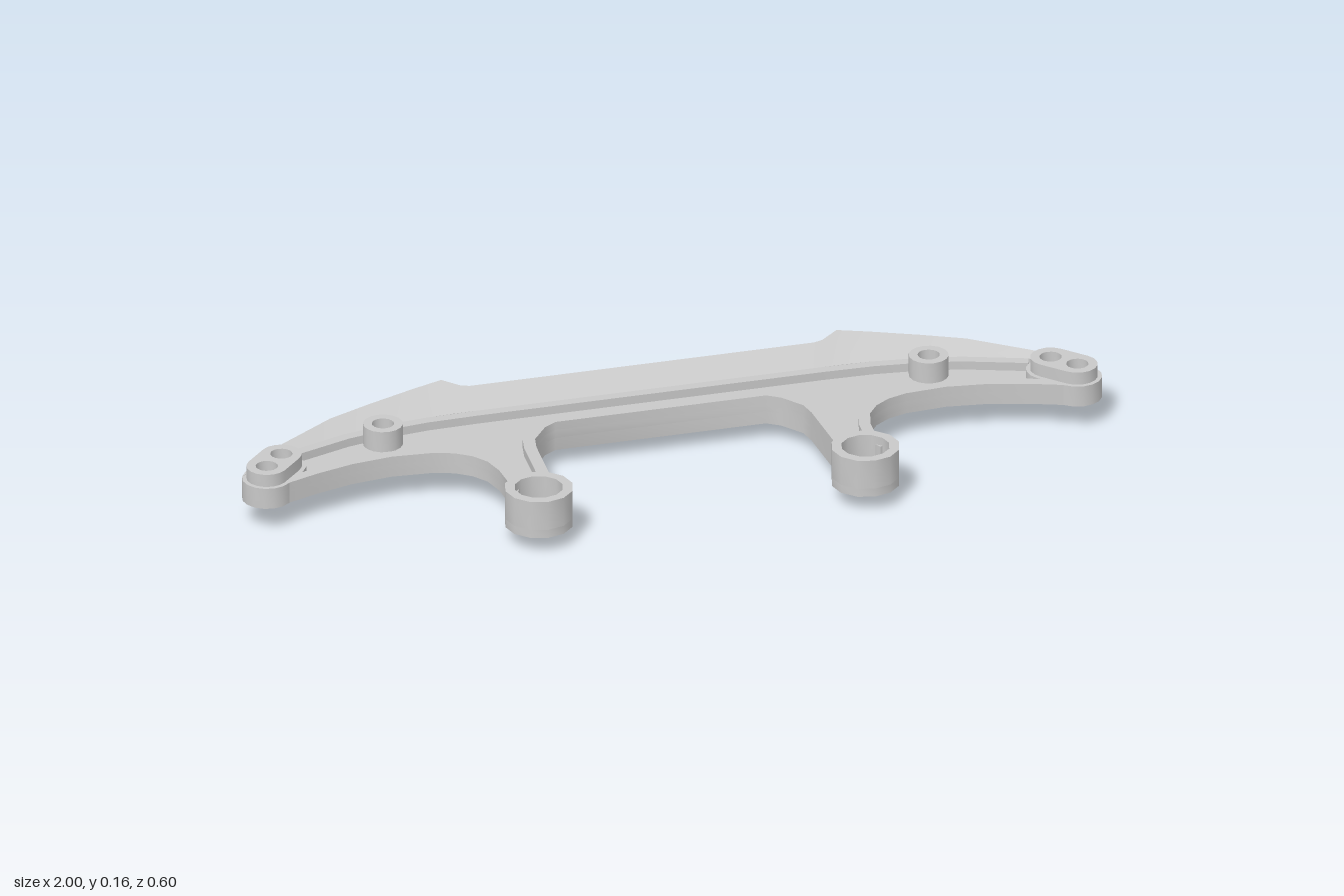
import * as THREE from 'three';
import { toCreasedNormals } from 'three/addons/utils/BufferGeometryUtils.js';

const grey = new THREE.MeshStandardMaterial({ color: 0xc8c8c8 });
grey.name = 'plain grey';

// Plan points are [x, z]; half paths run outward from the centre line
const mirrorPath = (half) => [...half.map(([x, z, ...r]) => [-x, z, ...r]).reverse(), ...half];
const toVec = (pts) => pts.map(([x, z]) => new THREE.Vector2(x, -z));

function circle(x, z, r, n = 16) {
  return Array.from({ length: n }, (_, i) => {
    const a = (i / n) * Math.PI * 2;
    return [x + r * Math.cos(a), z + r * Math.sin(a)];
  });
}

// Rounded slot outline around two centres
function capsule([ax, az], [bx, bz], r, n = 8) {
  const a0 = Math.atan2(bz - az, bx - ax) - Math.PI / 2;
  const arc = (cx, cz, start) => Array.from({ length: n + 1 }, (_, i) => {
    const a = start + (i / n) * Math.PI;
    return [cx + r * Math.cos(a), cz + r * Math.sin(a)];
  });
  return [...arc(bx, bz, a0), ...arc(ax, az, a0 + Math.PI)];
}

// Flat plan shape raised from y0 to y1; the outline runs counter-clockwise so hole walls face inward
function slab(name, outline, y0, y1, holes = []) {
  const points = toVec(outline);
  if (THREE.ShapeUtils.isClockWise(points)) points.reverse();
  const shape = new THREE.Shape(points);
  holes.forEach((h) => shape.holes.push(new THREE.Path(toVec(h))));
  const geo = new THREE.ExtrudeGeometry(shape, { depth: y1 - y0, bevelEnabled: false });
  geo.rotateX(-Math.PI / 2).translate(0, y0, 0);
  const mesh = new THREE.Mesh(toCreasedNormals(geo, 0.6), grey);
  mesh.name = name;
  return mesh;
}

// Band of width w along one side of a path
function band(path, w) {
  const normal = (a, b) => {
    const l = Math.hypot(b[0] - a[0], b[1] - a[1]);
    return [-(b[1] - a[1]) / l, (b[0] - a[0]) / l];
  };
  const last = path.length - 1;
  const inset = path.map((p, i) => {
    const n1 = normal(path[Math.max(i - 1, 0)], path[Math.max(i, 1)]);
    const n2 = normal(path[Math.min(i, last - 1)], path[Math.min(i + 1, last)]);
    const k = w / (1 + n1[0] * n2[0] + n1[1] * n2[1]);
    return [p[0] + (n1[0] + n2[0]) * k, p[1] + (n1[1] + n2[1]) * k];
  });
  return [...path, ...inset.reverse()];
}

// Key edges of the frame, right half
const cutout = [[0.245, -0.12], [0.275, -0.1], [0.312, -0.05], [0.32, -0.01], [0.33, 0.157]];
const armFront = [[0.445, 0.186], [0.428, 0.15], [0.432, 0.08], [0.445, 0.03], [0.47, -0.005],
  [0.505, -0.03], [0.55, -0.045], [0.645, -0.052], [0.74, -0.04], [0.83, -0.015], [0.912, 0.015]];
const backEdge = [[0.4, -0.222], [0.52, -0.219], [0.63, -0.207], [0.72, -0.188], [0.862, -0.139]];

// Wing stations: inner x, inner z, outer x, outer z, outer top y
const wingHalf = [
  [0.38, -0.222, 0.4, -0.275, 0.147],
  [0.41, -0.222, 0.42, -0.278, 0.149],
  [0.45, -0.222, 0.46, -0.3, 0.158],
  [0.52, -0.219, 0.53, -0.285, 0.152],
  [0.63, -0.207, 0.64, -0.256, 0.143],
  [0.72, -0.188, 0.74, -0.225, 0.135],
  [0.85, -0.143, 0.87, -0.157, 0.122],
  [0.925, -0.105, 0.95, -0.108, 0.115],
  [0.97, -0.06, 0.992, -0.05, 0.111],
];

function wing() {
  const stations = mirrorPath(wingHalf.map(([a, b, c, d, y]) => [a, b, c, d, y]))
    .map(([a, b, c, d, y], i) => [a, b, i < wingHalf.length ? -c : c, d, y]);
  const pos = [];
  const idx = [];
  stations.forEach(([ix, iz, ox, oz, y]) => {
    pos.push(ix, 0.11, iz, ox, y, oz, ox, y - 0.02, oz, ix, 0.09, iz);
  });
  for (let i = 0; i < stations.length - 1; i++) {
    for (let k = 0; k < 4; k++) {
      const a = i * 4 + k, b = i * 4 + ((k + 1) % 4);
      idx.push(a, a + 4, b + 4, a, b + 4, b);
    }
  }
  const e = (stations.length - 1) * 4;
  idx.push(0, 1, 2, 0, 2, 3, e, e + 2, e + 1, e, e + 3, e + 2);
  const geo = new THREE.BufferGeometry();
  geo.setAttribute('position', new THREE.Float32BufferAttribute(pos, 3));
  geo.setIndex(idx);
  const mesh = new THREE.Mesh(toCreasedNormals(geo, 0.35), grey);
  mesh.name = 'rearWing';
  return mesh;
}

export function createModel() {
  const model = new THREE.Group();
  model.name = 'bumperFrame';

  // Thin web filling the frame between the ribs
  const tipEnd = [[0.865, -0.042], [0.86, -0.102]];
  const half = [...cutout, [0.405, 0.155], ...armFront, ...tipEnd, ...[...backEdge].reverse()];
  const screwHoles = [-1, 1].map((s) => circle(s * 0.635, -0.16, 0.025));
  model.add(slab('web', mirrorPath(half), 0.07, 0.09, screwHoles));

  // Raised ribs along the edges
  model.add(slab('cutoutRib', band(mirrorPath(cutout), -0.028), 0.04, 0.11));
  model.add(slab('backRib', band(mirrorPath(backEdge), 0.024), 0.06, 0.11));

  for (const s of [1, -1]) {
    const side = new THREE.Group();
    side.name = s > 0 ? 'leftSide' : 'rightSide';
    const flip = (pts) => pts.map(([x, z]) => [s * x, z]);
    side.add(slab('armRib', band(flip(armFront), -0.026 * s), 0.06, 0.11));

    // Leg mount with a counterbored hole
    const mount = (r) => circle(s * 0.38, 0.222, r, 12);
    side.add(slab('mountBase', mount(0.078), 0.04, 0.06, [mount(0.03)]));
    side.add(slab('mountCup', mount(0.078), 0.06, 0.13, [mount(0.055)]));

    // Single screw boss on the arm
    side.add(slab('screwBoss', circle(s * 0.635, -0.16, 0.045), 0.065, 0.14,
      [circle(s * 0.635, -0.16, 0.025)]));

    // Two-hole pad at the arm tip
    const a = [s * 0.895, -0.076], b = [s * 0.943, -0.026];
    const holes = [circle(...a, 0.025), circle(...b, 0.025)];
    side.add(slab('tipPad', capsule(a, b, 0.056), 0.06, 0.11, holes));
    side.add(slab('tipPadTop', capsule(a, b, 0.046), 0.11, 0.14, holes));
    model.add(side);
  }

  model.add(wing());

  // Small fin hanging under the middle of the wing
  const fin = new THREE.Shape([[0.185, 0.075], [0.185, 0.06], [0.218, 0.012], [0.232, 0.002],
    [0.245, 0], [0.265, 0], [0.272, 0.004], [0.272, 0.13], [0.23, 0.1]]
    .map(([x, y]) => new THREE.Vector2(x, y)));
  const finGeo = new THREE.ExtrudeGeometry(fin, { depth: 0.03, bevelEnabled: false });
  finGeo.translate(0, 0, -0.015).rotateY(Math.PI / 2);
  const finMesh = new THREE.Mesh(toCreasedNormals(finGeo, 0.6), grey);
  finMesh.name = 'centreFin';
  model.add(finMesh);

  return model;
}
